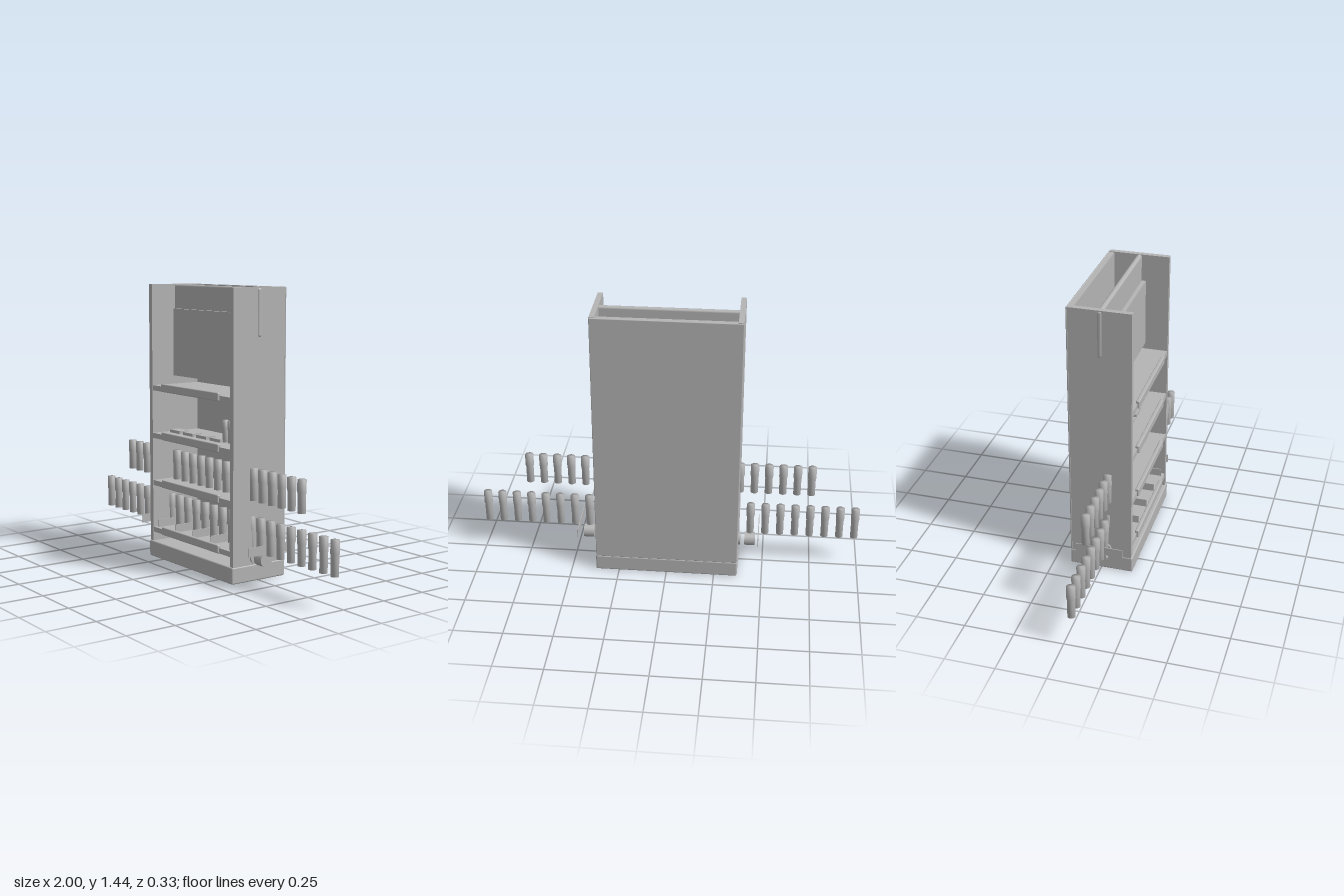
import * as THREE from 'three';
import { RoundedBoxGeometry } from 'three/addons/geometries/RoundedBoxGeometry.js';

export function createModel() {
  const model = new THREE.Group();
  model.name = 'dispenserCabinet';
  const grey = new THREE.MeshStandardMaterial({ color: 0xb4b4b4 });
  grey.name = 'grey';

  const add = (name, geometry, x = 0, y = 0, z = 0) => {
    const mesh = new THREE.Mesh(geometry, grey);
    mesh.name = name;
    mesh.position.set(x, y, z);
    model.add(mesh);
    return mesh;
  };
  // box given by its minimum and maximum on each axis, optionally rounded
  const box = (name, x0, x1, y0, y1, z0, z1, r = 0) => {
    const size = [x1 - x0, y1 - y0, z1 - z0];
    const geometry = r ? new RoundedBoxGeometry(...size, 3, r) : new THREE.BoxGeometry(...size);
    return add(name, geometry, (x0 + x1) / 2, (y0 + y1) / 2, (z0 + z1) / 2);
  };

  // cabinet shell
  box('base', -0.372, 0.372, 0, 0.085, -0.163, 0.164, 0.008);
  for (const s of [-1, 1]) {
    const xs = [s * 0.343, s * 0.37].sort((a, b) => a - b);
    box('sideWall', xs[0], xs[1], 0.083, 1.442, -0.155, 0.157);
  }
  box('backPanel', -0.37, 0.37, 0.083, 1.44, -0.163, -0.155, 0.003);
  box('backLining', -0.344, 0.344, 0.083, 1.438, -0.156, -0.13);

  // upper partition, its ends showing through the side walls, and the window
  box('partition', -0.374, 0.374, 1.2, 1.44, -0.013, 0.014, 0.012);
  box('window', -0.31, 0.31, 0.965, 1.315, 0.024, 0.045);

  // shelves with a rounded front lip
  for (let i = 0; i < 4; i++) {
    const y = 0.133 + i * 0.2523;
    box('shelf', -0.344, 0.344, y, y + 0.027, -0.132, 0.155);
    box('shelfLip', -0.252, 0.252, y, y + 0.042, 0.145, 0.165, 0.006);
  }

  // capped bottle standing on its base
  const bottleGeometry = (h, r) => {
    const points = [
      [0, 0], [r * 0.88, 0], [r * 0.88, h * 0.55], [r, h * 0.62], [r, h], [0, h],
    ].map(([x, y]) => new THREE.Vector2(x, y));
    return new THREE.LatheGeometry(points, 24);
  };
  const row = (name, geometry, count, step, y, z) => {
    for (let i = 0; i < count; i++) add(name, geometry, (i - (count - 1) / 2) * step, y, z);
  };
  row('upperBottle', bottleGeometry(0.16, 0.022), 21, 0.074, 0.406, 0.035);
  row('lowerBottle', bottleGeometry(0.17, 0.022), 26, 0.0782, 0.156, 0.035);

  // rollers and divider plates under the lower bottles
  const roller = new THREE.CylinderGeometry(0.035, 0.035, 0.056, 28).rotateZ(Math.PI / 2);
  row('roller', roller, 12, 0.0782, 0.121, 0.02);
  row('divider', new THREE.BoxGeometry(0.004, 0.045, 0.245), 7, 0.1583, 0.179, 0.018);

  // two small bottles and the flat cards on the third shelf
  const smallBottle = bottleGeometry(0.112, 0.017);
  for (const x of [0.137, 0.185]) add('smallBottle', smallBottle, x, 0.664, 0.035);
  const card = new THREE.BoxGeometry(0.09, 0.016, 0.06);
  for (const x of [-0.265, -0.145, -0.025, 0.095]) add('card', card, x, 0.672, 0.04);

  return model;
}
